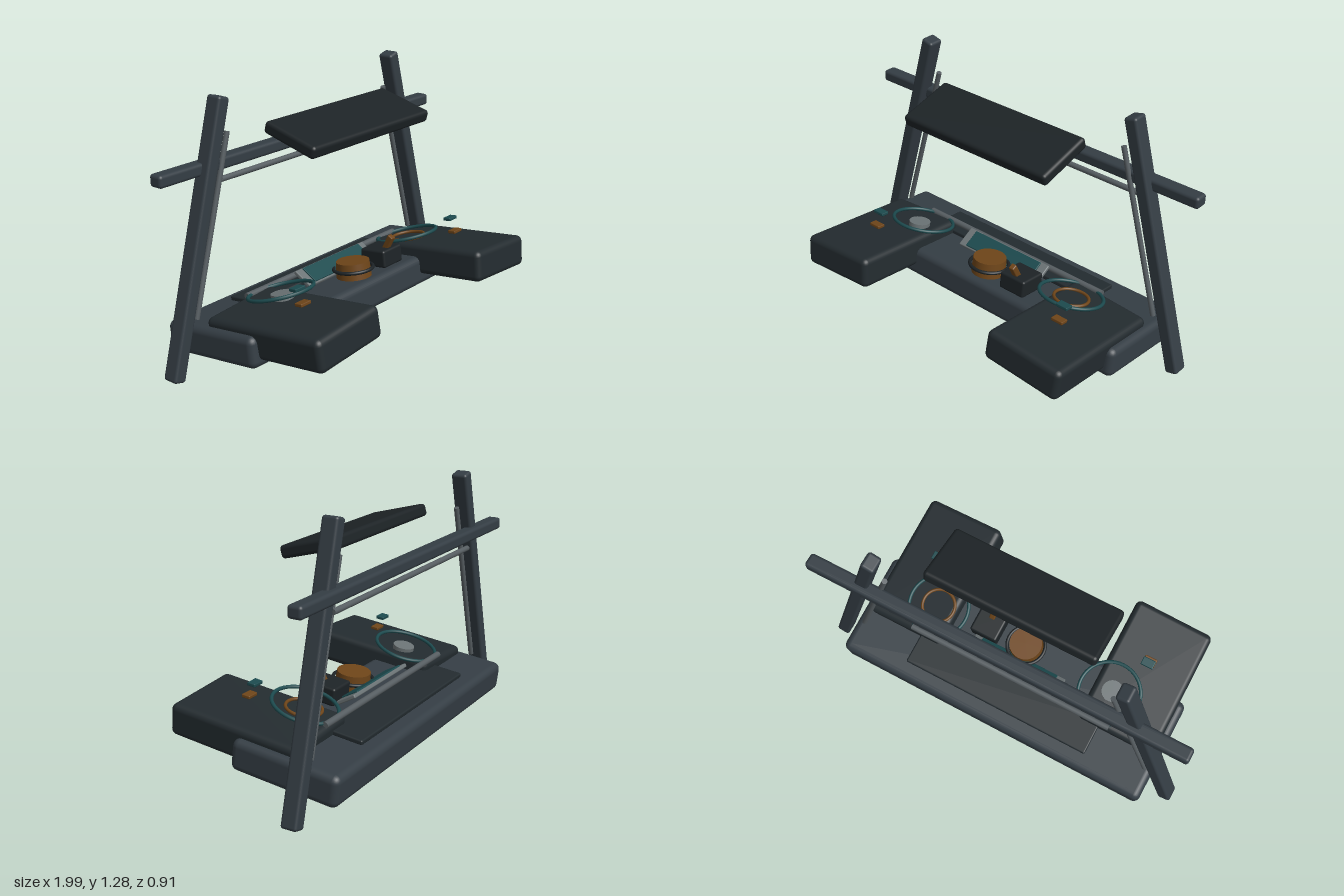
import * as THREE from 'three';
import { RoundedBoxGeometry } from 'three/addons/geometries/RoundedBoxGeometry.js';

const paint = (color) => new THREE.MeshStandardMaterial({ color });

export function createModel() {
  const root = new THREE.Group();
  const slate = paint(0x343d44), dark = paint(0x232b2f), black = paint(0x1d2326);
  const steel = paint(0x565d61), grey = paint(0x6b7375), teal = paint(0x1c4a4e), amber = paint(0x6e4519);

  const add = (name, geometry, material, pos, rot = [0, 0, 0], parent = root) => {
    const mesh = new THREE.Mesh(geometry, material);
    mesh.name = name;
    mesh.position.set(...pos);
    mesh.rotation.set(...rot);
    parent.add(mesh);
    return mesh;
  };
  const box = (w, h, d, r) => new RoundedBoxGeometry(w, h, d, 3, r);

  // straight round bar between two points
  const rod = (name, a, b, r, material) => {
    const start = new THREE.Vector3(...a), end = new THREE.Vector3(...b);
    const dir = end.clone().sub(start);
    const mesh = add(name, new THREE.CylinderGeometry(r, r, dir.length(), 16), material,
      start.clone().add(end).multiplyScalar(0.5).toArray());
    mesh.quaternion.setFromUnitVectors(new THREE.Vector3(0, 1, 0), dir.normalize());
  };

  const tilt = -0.122; // the desk rises towards the front

  // desk body and the thin plate on its rear
  add('deskBase', box(1.71, 0.152, 0.55, 0.035), slate, [0, 0.19, -0.185], [tilt, 0, 0]);
  add('rearPlate', box(1.03, 0.025, 0.19, 0.008), dark, [0, 0.262, -0.29], [tilt, 0, 0]);

  for (const s of [-1, 1]) {
    // side wing, inner edge slightly raised
    add('wing', box(0.425, 0.158, 0.68, 0.03), dark, [s * 0.605, 0.275, 0.107], [tilt, 0, -s * 0.065]);
    // leaning post with its thin brace
    add('post', box(0.068, 1.315, 0.082, 0.014), slate, [s * 0.79, 0.648, -0.305], [0, 0, s * 0.269]);
    rod('brace', [s * 0.572, 1.11, -0.305], [s * 0.81, 0.27, -0.305], 0.013, steel);
    // tilted ring above the wing
    add('controlRing', new THREE.TorusGeometry(0.157, 0.009, 10, 48), teal,
      [s * 0.49, 0.365, -0.075], [Math.PI / 2 - 0.28, 0, 0]);
    // small floating buttons
    add('tealButton', box(0.065, 0.016, 0.043, 0.004), teal, [s * 0.597, 0.467, 0.125], [tilt, 0, 0]);
    add('amberButton', box(0.065, 0.016, 0.043, 0.004), amber, [s * 0.597, 0.404, 0.157], [tilt, 0, 0]);
  }

  // inner dial markings: ring on one side, disc on the other
  add('innerRing', new THREE.TorusGeometry(0.085, 0.008, 10, 40), amber,
    [0.495, 0.352, -0.07], [Math.PI / 2 - 0.2, 0, 0]);
  add('greyDial', new THREE.CylinderGeometry(0.055, 0.055, 0.03, 32), grey, [-0.5, 0.35, -0.055], [-0.2, 0, 0]);

  // crossbeam and horizontal bars
  add('crossbeam', box(1.96, 0.06, 0.072, 0.016), slate, [0, 0.965, -0.34]);
  rod('upperBar', [-0.665, 0.886, -0.328], [0.665, 0.886, -0.328], 0.014, steel);
  rod('lowerBar', [-0.565, 0.322, -0.224], [0.565, 0.322, -0.224], 0.016, steel);

  // overhead canopy with a row of small lamps underneath
  const canopy = new THREE.Group();
  canopy.name = 'canopy';
  canopy.position.set(0, 1.079, -0.06);
  canopy.rotation.x = 0.26;
  root.add(canopy);
  add('canopyPanel', box(0.87, 0.062, 0.307, 0.018), black, [0, 0, 0], [0, 0, 0], canopy);
  for (let i = -3; i <= 3; i++) {
    add('lamp', new THREE.CylinderGeometry(0.009, 0.009, 0.02, 12), amber, [i * 0.087, -0.034, 0.08], [0, 0, 0], canopy);
  }

  // sloped display
  add('displayFrame', box(0.52, 0.02, 0.11, 0.006), grey, [0, 0.326, -0.15], [0.5, 0, 0]);
  add('displayScreen', box(0.43, 0.01, 0.095, 0.003), teal, [0, 0.337, -0.145], [0.5, 0, 0]);

  // central knob with collar
  add('knob', new THREE.CylinderGeometry(0.083, 0.088, 0.08, 40), amber, [0, 0.333, -0.04], [tilt, 0, 0]);
  add('knobCollar', new THREE.TorusGeometry(0.098, 0.009, 10, 40), black,
    [0, 0.335, -0.04], [Math.PI / 2 + tilt, 0, 0]);

  // lever and its housing
  add('leverHousing', box(0.15, 0.09, 0.15, 0.012), black, [0.215, 0.342, -0.03], [tilt, 0, 0]);
  add('lever', box(0.03, 0.13, 0.032, 0.006), amber, [0.213, 0.398, 0.006], [0.45, 0, 0]);

  return root;
}
